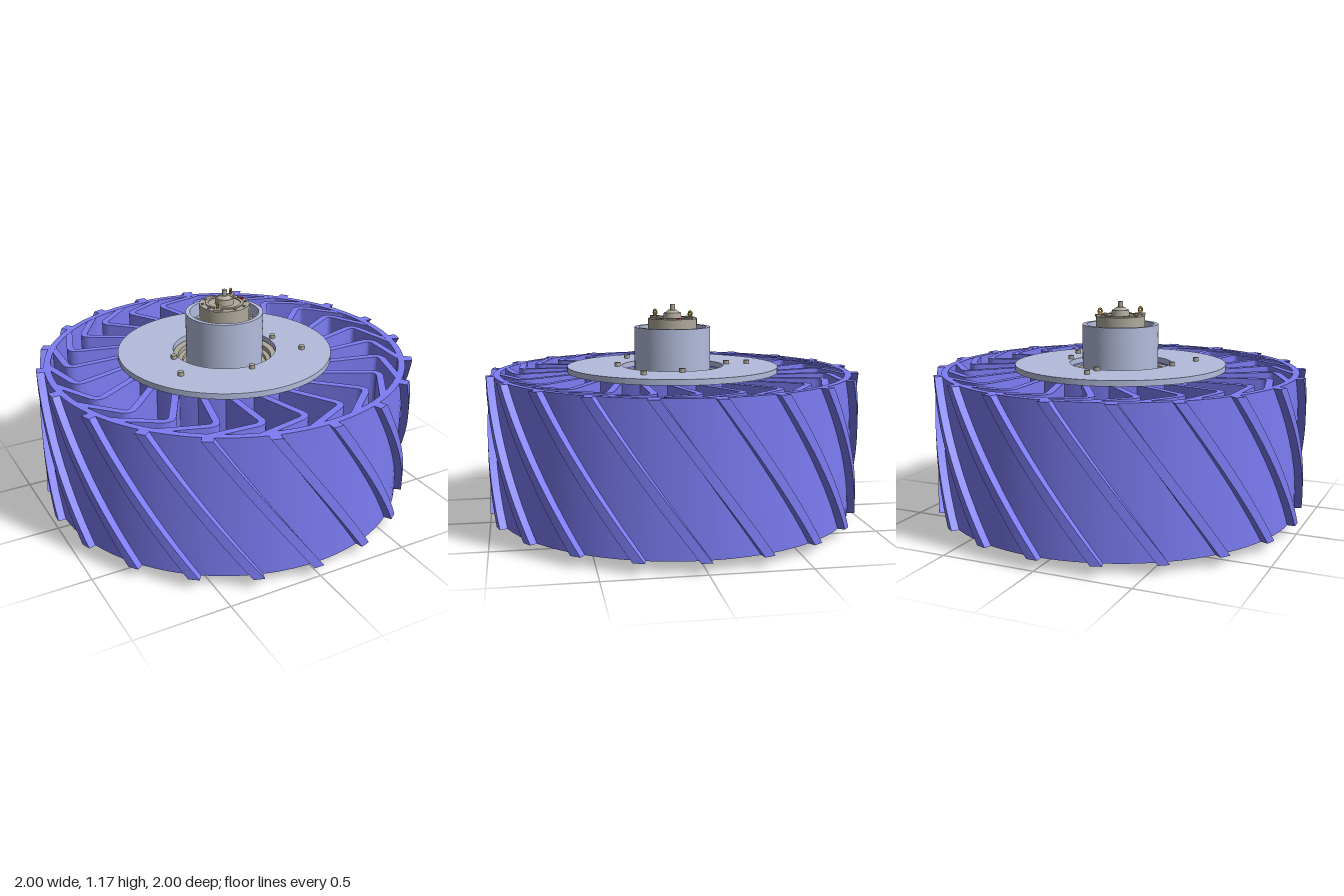
import * as THREE from 'three';
import { toCreasedNormals } from 'three/addons/utils/BufferGeometryUtils.js';

const mat = (color) => new THREE.MeshStandardMaterial({ color });
const BLUE = mat(0x7c7cf4), PLATE = mat(0xb4bcdc), STEEL = mat(0xb0aa9c), BRASS = mat(0xb09030), RED = mat(0xd02020);
const Y0 = 0.06, Y1 = 0.815, H = Y1 - Y0;
const DEG = Math.PI / 180;

export function createModel() {
  const root = new THREE.Group();

  const add = (name, geo, material, parent = root) => {
    const m = new THREE.Mesh(geo, material);
    m.name = name;
    parent.add(m);
    return m;
  };
  const group = (name) => {
    const g = new THREE.Group();
    g.name = name;
    root.add(g);
    return g;
  };
  // Square-section ring around the axle
  const ring = (ri, ro, y0, y1) => {
    const pts = [[ri, y0], [ro, y0], [ro, y1], [ri, y1], [ri, y0]].map((p) => new THREE.Vector2(...p));
    return toCreasedNormals(new THREE.LatheGeometry(pts, 96), 0.6);
  };
  const disc = (r, y0, y1, seg = 64) => new THREE.CylinderGeometry(r, r, y1 - y0, seg).translate(0, (y0 + y1) / 2, 0);
  const bolts = (name, spots, r, y0, y1, material = STEEL) => {
    const g = group(name), geo = disc(r, y0, y1, 12);
    spots.forEach(([x, z]) => add('bolt', geo, material, g).position.set(x, 0, z));
  };
  const circle = (n, r, start = 0) => Array.from({ length: n }, (_, i) => {
    const a = start * DEG + (i / n) * Math.PI * 2;
    return [r * Math.cos(a), r * Math.sin(a)];
  });

  // Wheel rim and inner hub
  add('rim', ring(0.925, 0.96, Y0, Y1), BLUE);
  add('hub', ring(0.49, 0.53, Y0, Y1), BLUE);

  // Bent flexible spokes: a strip of even thickness along a rounded elbow
  const polar = (r, a) => new THREE.Vector2(r * Math.sin(a * DEG), r * Math.cos(a * DEG));
  const inner = polar(0.52, 10.5), elbow = polar(0.835, 0), outer = polar(0.94, 17.5);
  const near = (p) => elbow.clone().add(p.clone().sub(elbow).setLength(0.05));
  const bend = new THREE.QuadraticBezierCurve(near(inner), elbow, near(outer)).getPoints(8);
  const line = [inner, ...bend, outer];
  const offset = (d) => line.map((p, i) => {
    const t = line[Math.min(i + 1, line.length - 1)].clone().sub(line[Math.max(i - 1, 0)]).normalize();
    return new THREE.Vector2(p.x - t.y * d, p.y + t.x * d);
  });
  const strip = new THREE.Shape([...offset(0.018), ...offset(-0.018).reverse()]);
  const spokeGeo = toCreasedNormals(
    new THREE.ExtrudeGeometry(strip, { depth: H - 0.002, bevelEnabled: false })
      .rotateX(-Math.PI / 2).translate(0, Y0 + 0.001, 0), 0.6);
  const spokes = group('spokes');
  for (let i = 0; i < 24; i++) add('spoke', spokeGeo, BLUE, spokes).rotation.y = -i * 15 * DEG;

  // Helical treads: a tall box wrapped round the rim and twisted with height
  const treadGeo = new THREE.BoxGeometry(0.055, H, 0.05, 2, 16, 1);
  const pos = treadGeo.attributes.position;
  for (let i = 0; i < pos.count; i++) {
    const y = pos.getY(i), r = 0.975 + pos.getZ(i);
    const a = pos.getX(i) / 0.97 + (0.5 - y / H) * 32 * DEG;
    pos.setXYZ(i, r * Math.sin(a), y + (Y0 + Y1) / 2, r * Math.cos(a));
  }
  treadGeo.computeVertexNormals();
  const treads = group('treads');
  for (let i = 0; i < 20; i++) add('tread', treadGeo, BLUE, treads).rotation.y = (3.5 + i * 18) * DEG;

  // Side plates and their bolts
  add('topPlate', ring(0.275, 0.57, Y1, 0.845), PLATE);
  add('bottomPlate', disc(0.57, 0.025, Y0, 96), PLATE);
  const three = circle(3, 0.415, 30);
  bolts('topPlateBolts', [...three, ...circle(4, 0.3)], 0.016, 0.84, 0.865);
  bolts('bottomPlateBolts', [...three, ...circle(4, 0.32, 30), ...circle(4, 0.07, 30)], 0.016, 0.005, 0.03);

  // Stepped bearing rings in the plate opening
  [[0.25, 0.29, 0.805], [0.225, 0.25, 0.78], [0.2, 0.225, 0.76]].forEach(([ri, ro, y]) =>
    add('bearingRing', ring(ri, ro, 0.6, y), STEEL));

  // Motor housing tube with a recessed floor
  add('motorTube', ring(0.182, 0.205, 0.6, 1.055), PLATE);
  add('motorTubeFloor', disc(0.185, 0.95, 0.985), PLATE);
  bolts('floorBolts', circle(8, 0.158), 0.013, 0.98, 1.0);

  // Motor end cap, bearing collar and shaft
  add('motorCap', disc(0.132, 0.98, 1.1), STEEL);
  add('capRim', ring(0.085, 0.1, 1.095, 1.106), STEEL);
  add('collarBase', new THREE.CylinderGeometry(0.046, 0.05, 0.03, 48).translate(0, 1.115, 0), STEEL);
  add('collarTop', new THREE.CylinderGeometry(0.022, 0.04, 0.015, 48).translate(0, 1.1375, 0), STEEL);
  add('shaft', disc(0.013, 1.1, 1.175, 24), STEEL);
  bolts('capScrews', circle(10, 0.115, 18), 0.008, 1.095, 1.106);

  // Two brass terminals on a diagonal, and the polarity dot
  [-1, 1].forEach((s) => {
    const t = new THREE.Group();
    t.name = 'terminal';
    t.position.set(s * 0.082, 1.1, -s * 0.082);
    t.rotation.y = 45 * DEG;
    root.add(t);
    add('terminalBase', new THREE.BoxGeometry(0.05, 0.012, 0.03).translate(0, 0.004, 0), STEEL, t);
    add('terminalStem', new THREE.BoxGeometry(0.016, 0.024, 0.008).translate(0, 0.012, 0), BRASS, t);
    add('terminalEye', new THREE.TorusGeometry(0.01, 0.005, 8, 20).scale(1, 1.3, 1).translate(0, 0.027, 0), BRASS, t);
  });
  add('polarityDot', disc(0.009, 1.095, 1.107, 16), RED).position.set(0.112, 0, -0.012);

  return root;
}
